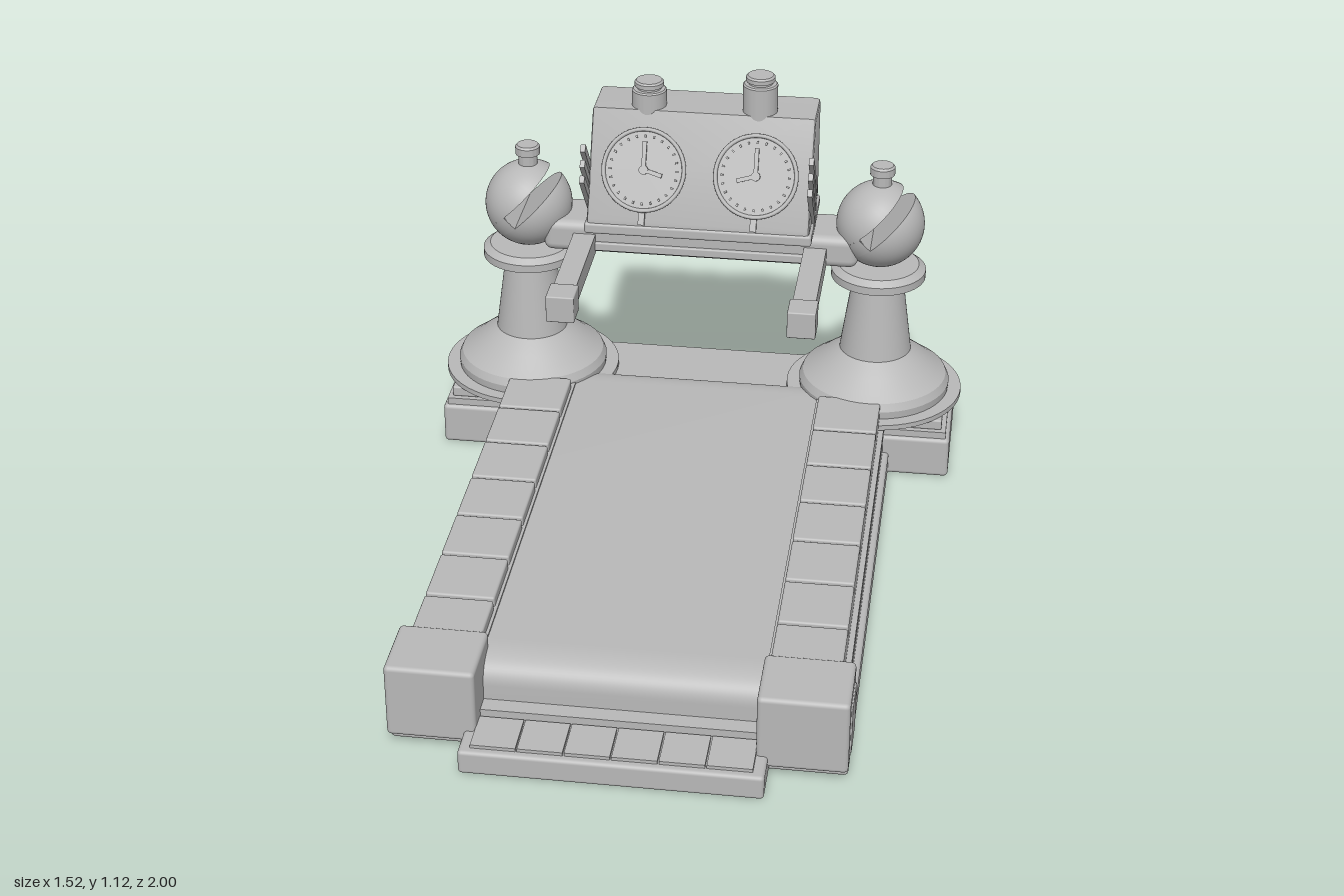
import * as THREE from 'three';
import { toCreasedNormals } from 'three/addons/utils/BufferGeometryUtils.js';
import { RoundedBoxGeometry } from 'three/addons/geometries/RoundedBoxGeometry.js';

const grey = new THREE.MeshStandardMaterial({ color: 0xb8b8b8 });
grey.name = 'plain grey';

function add(parent, name, geometry, x = 0, y = 0, z = 0) {
  const mesh = new THREE.Mesh(geometry, grey);
  mesh.name = name;
  mesh.position.set(x, y, z);
  parent.add(mesh);
  return mesh;
}

// Box given by its limits; r rounds the edges
function block(parent, name, [x0, x1], [y0, y1], [z0, z1], r = 0) {
  const s = [x1 - x0, y1 - y0, z1 - z0];
  const g = r ? new RoundedBoxGeometry(...s, 3, r) : new THREE.BoxGeometry(...s);
  return add(parent, name, g, (x0 + x1) / 2, (y0 + y1) / 2, (z0 + z1) / 2);
}

// Side profile drawn in (z, y), extruded across the width
function acrossX(shape, width, bevel = 0) {
  const g = new THREE.ExtrudeGeometry(shape, {
    depth: width - 2 * bevel, bevelEnabled: bevel > 0, bevelSize: bevel,
    bevelThickness: bevel, bevelOffset: -bevel, bevelSegments: 2, curveSegments: 16,
  });
  g.translate(0, 0, -width / 2 + bevel);
  g.rotateY(-Math.PI / 2);
  return toCreasedNormals(g, 0.6);
}

function lathe(points) {
  const g = new THREE.LatheGeometry(points.map(p => new THREE.Vector2(...p)), 48);
  return toCreasedNormals(g, 0.5);
}

// Ball with a slot cut through it diagonally
function slottedBall(parent, x, y, z) {
  const ball = new THREE.Group();
  ball.name = 'slottedBall';
  ball.position.set(x, y, z);
  ball.rotation.z = Math.PI / 4;
  parent.add(ball);
  const r = 0.125, low = -0.009, high = 0.035, floor = -0.037;
  const top = Math.acos(high / r), bottom = Math.acos(low / r);
  add(ball, 'upperCap', new THREE.SphereGeometry(r, 40, 16, 0, Math.PI * 2, 0, top));
  add(ball, 'lowerCap', new THREE.SphereGeometry(r, 40, 20, 0, Math.PI * 2, bottom, Math.PI - bottom));
  add(ball, 'upperSlotWall', new THREE.CircleGeometry(r * Math.sin(top), 40).rotateX(Math.PI / 2), 0, high);
  add(ball, 'lowerSlotWall', new THREE.CircleGeometry(r * Math.sin(bottom), 40).rotateX(-Math.PI / 2), 0, low);
  const a = Math.acos(floor / r);
  const arc = [];
  for (let i = 0; i <= 4; i++) {
    const v = low + (high - low) * i / 4;
    arc.push(new THREE.Vector2(Math.sqrt(r * r - v * v), v));
  }
  add(ball, 'middleBand', new THREE.LatheGeometry(arc, 32, Math.PI / 2 + a, 2 * (Math.PI - a)));
  add(ball, 'slotFloor', new THREE.PlaneGeometry(2 * r * Math.sin(a), high - low).rotateY(Math.PI / 2),
    floor, (low + high) / 2);
}

function pedestal(parent, x) {
  const g = new THREE.Group();
  g.name = 'pedestal';
  g.position.set(x, 0, -0.745);
  parent.add(g);
  add(g, 'baseDisc', new THREE.CylinderGeometry(0.254, 0.254, 0.015, 56), 0, 0.18);
  add(g, 'column', lathe([
    [0, 0.185], [0.216, 0.185], [0.218, 0.21], [0.208, 0.232], [0.18, 0.252], [0.15, 0.276], [0.122, 0.297],
    [0.103, 0.31], [0.074, 0.52], [0.09, 0.525], [0.135, 0.542], [0.135, 0.565], [0.115, 0.58], [0, 0.582],
  ]));
  slottedBall(g, 0, 0.705, 0);
  add(g, 'finial', lathe([
    [0, 0.815], [0.027, 0.815], [0.027, 0.855], [0.035, 0.858], [0.035, 0.88], [0.03, 0.886], [0, 0.886],
  ]));
}

// Round gauge lying in the local xy plane, facing +z
function dial(parent, x, side) {
  const g = new THREE.Group();
  g.name = 'dial';
  g.position.set(x, 0, 0);
  parent.add(g);
  add(g, 'dialFace', new THREE.CylinderGeometry(0.118, 0.118, 0.024, 48).rotateX(Math.PI / 2));
  add(g, 'dialRim', new THREE.TorusGeometry(0.114, 0.006, 8, 48), 0, 0, 0.012);
  for (let i = 0; i < 24; i++) {
    const a = i * Math.PI / 12;
    const tick = add(g, 'tick', new THREE.BoxGeometry(0.008, 0.005, 0.006),
      0.095 * Math.cos(a), 0.095 * Math.sin(a), 0.014);
    tick.rotation.z = a;
  }
  add(g, 'hub', new THREE.CylinderGeometry(0.013, 0.013, 0.012, 20).rotateX(Math.PI / 2), 0, 0, 0.016);
  add(g, 'longHand', new THREE.BoxGeometry(0.012, 0.08, 0.008), 0, 0.04, 0.016);
  const hand = add(g, 'shortHand', new THREE.BoxGeometry(0.055, 0.012, 0.008), side * 0.026, -0.007, 0.016);
  hand.rotation.z = -side * 0.28;
}

function console_(parent) {
  const g = new THREE.Group();
  g.name = 'console';
  parent.add(g);
  block(g, 'crossBar', [-0.45, 0.45], [0.595, 0.69], [-0.83, -0.655], 0.025);
  block(g, 'crossBarFrontStrip', [-0.32, 0.32], [0.61, 0.635], [-0.67, -0.645], 0.004);
  block(g, 'consoleFoot', [-0.322, 0.322], [0.685, 0.718], [-0.885, -0.6], 0.008);
  const s = new THREE.Shape();
  s.moveTo(-0.888, 0.71);
  s.lineTo(-0.605, 0.71);
  s.lineTo(-0.605, 0.73);
  s.lineTo(-0.737, 1.015);
  s.lineTo(-0.888, 1.015);
  add(g, 'consoleBody', acrossX(s, 0.63, 0.01));

  // Gauges on the sloping panel
  const panel = new THREE.Group();
  panel.name = 'dials';
  panel.position.set(0, 0.865, -0.662);
  panel.rotation.x = -Math.atan2(0.132, 0.285);
  g.add(panel);
  for (const side of [-1, 1]) {
    dial(panel, side * 0.158, -side);
    add(panel, 'dialStem', new THREE.BoxGeometry(0.018, 0.05, 0.012), side * 0.158, -0.13, 0);
    // Slanted bars on the side walls
    for (let i = 0; i < 3; i++) {
      const bar = add(g, 'sideBar', new THREE.BoxGeometry(0.014, 0.022, 0.22),
        side * 0.318, 0.875 - i * 0.042, -0.66 + i * 0.012);
      bar.rotation.x = -0.83;
    }
  }

  // Buttons on top
  for (const [x, h] of [[-0.16, 0.055], [0.154, 0.088]]) {
    const y = 1.01 + h;
    add(g, 'button', lathe([
      [0, 1.0], [0.049, 1.0], [0.049, y - 0.004], [0.045, y], [0.034, y], [0.034, y + 0.006],
      [0.041, y + 0.008], [0.041, y + 0.02], [0.036, y + 0.025], [0, y + 0.025],
    ]), x, 0, -0.78);
  }

  // Hand rails
  for (const x of [-0.33, 0.33]) {
    block(g, 'handRail', [x - 0.032, x + 0.032], [0.6, 0.657], [-0.68, -0.32]);
    block(g, 'handRailTip', [x - 0.039, x + 0.039], [0.587, 0.665], [-0.328, -0.245], 0.004);
  }
}

function deck(parent) {
  const g = new THREE.Group();
  g.name = 'deck';
  parent.add(g);
  block(g, 'basePlate', [-0.568, 0.568], [0, 0.068], [-0.6, 0.88], 0.01);
  block(g, 'frontSill', [-0.36, 0.36], [0.05, 0.09], [-0.6, 0.855]);

  // Belt with rounded ends
  const s = new THREE.Shape();
  s.moveTo(-0.72, 0.06);
  s.lineTo(0.81, 0.06);
  s.lineTo(0.81, 0.13);
  s.quadraticCurveTo(0.81, 0.2, 0.7, 0.2);
  s.lineTo(-0.61, 0.2);
  s.quadraticCurveTo(-0.72, 0.2, -0.72, 0.13);
  add(g, 'belt', acrossX(s, 0.71));

  for (const side of [-1, 1]) {
    const span = (a, b) => [Math.min(side * a, side * b), Math.max(side * a, side * b)];
    // Stepped side rail: outer x, bottom and top of each layer
    for (const [x, y0, y1] of [[0.55, 0.06, 0.1], [0.535, 0.1, 0.14], [0.553, 0.14, 0.168], [0.538, 0.168, 0.205]])
      block(g, 'sideRail', span(0.352, x), [y0, y1], [-0.6, 0.75]);
    for (let i = 0; i < 7; i++) {
      const z = -0.57 + i * 0.192;
      block(g, 'footTile', span(0.36, 0.538), [0.198, 0.232], [z + 0.005, z + 0.187], 0.006);
    }
    block(g, 'cornerBlock', span(0.345, 0.57), [0.033, 0.236], [0.725, 0.915], 0.012);
    block(g, 'cornerPanel', span(0.565, 0.574), [0.07, 0.2], [0.765, 0.875]);
  }

  // Front step with tread tiles
  block(g, 'step', [-0.375, 0.375], [0, 0.066], [0.7, 1.0], 0.01);
  for (let i = 0; i < 6; i++) {
    const x = -0.348 + i * 0.116;
    block(g, 'stepTile', [x + 0.002, x + 0.114], [0.06, 0.075], [0.862, 0.98]);
  }
}

export function createModel() {
  const model = new THREE.Group();
  model.name = 'treadmill';
  deck(model);
  // Rear plinth in tiers
  block(model, 'plinth', [-0.74, 0.74], [0, 0.122], [-0.932, -0.547], 0.012);
  block(model, 'plinthMiddle', [-0.728, 0.728], [0.12, 0.142], [-0.922, -0.557]);
  block(model, 'plinthTop', [-0.715, 0.715], [0.142, 0.173], [-0.91, -0.57], 0.005);
  for (const x of [-0.506, 0.506]) pedestal(model, x);
  console_(model);
  return model;
}
